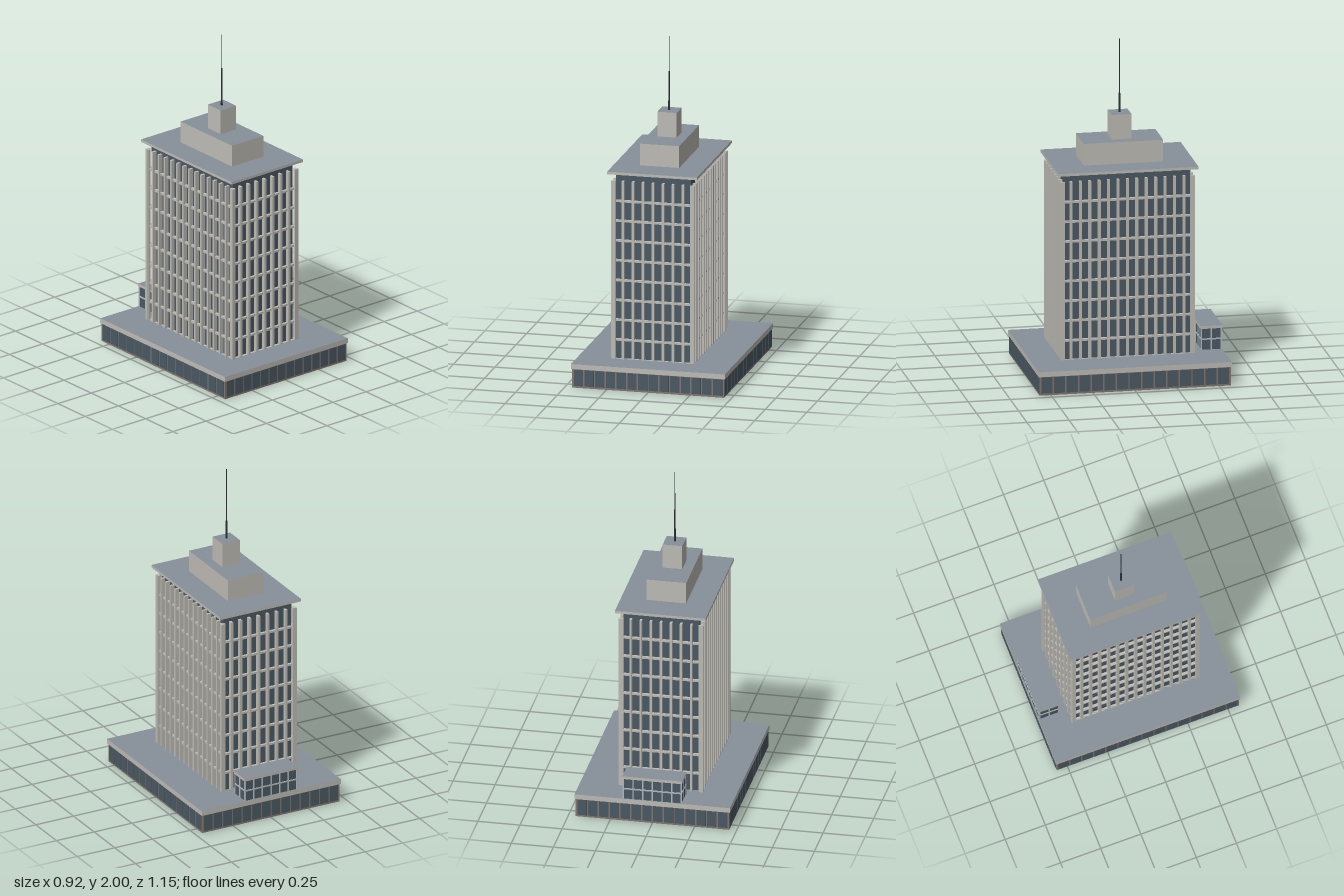
import * as THREE from 'three';
import { mergeGeometries } from 'three/addons/utils/BufferGeometryUtils.js';

export function createModel() {
  const mat = (name, color) => {
    const m = new THREE.MeshStandardMaterial({ color });
    m.name = name;
    return m;
  };
  const stone = mat('paleStone', 0xbfbcb5);
  const glass = mat('darkGlass', 0x4b5964);
  const roof = mat('roofGrey', 0x87919a);
  const brown = mat('brownWall', 0x84776d);
  const frame = mat('paleFrame', 0xb3bbc0);
  const steel = mat('darkSteel', 0x2e3138);

  const model = new THREE.Group();
  model.name = 'officeTower';
  const CX = -0.015; // the tower stands slightly off centre

  const add = (name, geometry, material) => {
    const mesh = new THREE.Mesh(geometry, material);
    mesh.name = name;
    model.add(mesh);
    return mesh;
  };
  // Box given by its extents
  const block = (x0, x1, y0, y1, z0, z1) =>
    new THREE.BoxGeometry(x1 - x0, y1 - y0, z1 - z0)
      .translate((x0 + x1) / 2, (y0 + y1) / 2, (z0 + z1) / 2);
  // Stone sides with grey top and bottom
  const capped = [stone, stone, roof, roof, stone, stone];

  // Evenly spaced uprights or panes along all four sides of a rectangle.
  // Each box has width w along the wall and spans depths d0..d1 past it.
  const around = (cx, cz, hx, hz, offsets, w, y0, y1, d0, d1) => {
    const list = [];
    for (const s of [-1, 1]) {
      const span = (h) => [Math.min(s * (h + d0), s * (h + d1)), Math.max(s * (h + d0), s * (h + d1))];
      const [za, zb] = span(hz), [xa, xb] = span(hx);
      for (const x of offsets.x) list.push(block(cx + x - w.x / 2, cx + x + w.x / 2, y0, y1, cz + za, cz + zb));
      for (const z of offsets.z) list.push(block(cx + xa, cx + xb, y0, y1, cz + z - w.z / 2, cz + z + w.z / 2));
    }
    return mergeGeometries(list);
  };
  const posts = (half, bays) => Array.from({ length: bays + 1 }, (_, i) => -half + (2 * half * i) / bays);
  const centres = (half, bays) => Array.from({ length: bays }, (_, i) => -half + (2 * half * (i + 0.5)) / bays);

  // Podium: open underneath, walls with a row of panes, stone rim and roof
  const PX = 0.456, PZ = 0.567;
  add('podiumWalls', mergeGeometries([
    block(-PX, PX, 0, 0.116, PZ - 0.01, PZ),
    block(-PX, PX, 0, 0.116, -PZ, -PZ + 0.01),
    block(PX - 0.01, PX, 0, 0.116, -PZ, PZ),
    block(-PX, -PX + 0.01, 0, 0.116, -PZ, PZ),
  ]), brown);
  const paneX = 2 * (PX - 0.006) / 14, paneZ = 2 * (PZ - 0.006) / 15;
  add('podiumWindows', around(0, 0, PX, PZ,
    { x: centres(PX - 0.006, 14), z: centres(PZ - 0.006, 15) },
    { x: paneX - 0.009, z: paneZ - 0.009 }, 0.012, 0.11, -0.002, 0.003), glass);
  add('podiumRoof', block(-0.462, 0.462, 0.113, 0.143, -0.573, 0.573), capped);

  // Tower core
  add('towerGlass', block(CX - 0.225, CX + 0.225, 0.143, 1.26, -0.375, 0.375), glass);
  // Vertical fins
  add('towerFins', around(CX, 0, 0.225, 0.375,
    { x: posts(0.24, 8), z: posts(0.391, 14) },
    { x: 0.014, z: 0.014 }, 0.143, 1.218, -0.002, 0.025), stone);
  // Floor edges
  const floors = [];
  for (let i = 0; i < 9; i++) {
    const y = 0.137 + i * 0.1197;
    floors.push(block(CX - 0.241, CX + 0.241, y - 0.006, y + 0.006, -0.391, 0.391));
  }
  add('floorEdges', mergeGeometries(floors), stone);

  // Stepped crown
  add('towerRoof', block(CX - 0.269, CX + 0.269, 1.26, 1.276, -0.416, 0.416), capped);
  add('penthouse', block(CX - 0.118, CX + 0.118, 1.276, 1.407, -0.236, 0.236), capped);
  add('mastBase', block(CX - 0.058, CX + 0.058, 1.407, 1.556, -0.059, 0.059), capped);

  // Antenna
  const rod = (r0, r1, y0, y1) =>
    new THREE.CylinderGeometry(r1, r0, y1 - y0, 8).translate(CX - 0.002, (y0 + y1) / 2, 0);
  add('antenna', mergeGeometries([
    rod(0.006, 0.005, 1.556, 1.67),
    rod(0.004, 0.0035, 1.67, 1.79),
    rod(0.0025, 0.002, 1.79, 2),
  ]), steel);

  // Rear pavilion
  const AZ = -0.508, AX = 0.176, AD = 0.063;
  add('pavilionGlass', block(-AX + 0.004, AX - 0.004, 0.143, 0.272, AZ - AD + 0.004, AZ + AD - 0.004), glass);
  add('pavilionRoof', block(-AX - 0.002, AX + 0.002, 0.27, 0.287, AZ - AD - 0.002, AZ + AD + 0.002), capped);
  add('pavilionMullions', around(0, AZ, AX - 0.004, AD - 0.004,
    { x: posts(AX - 0.004, 6), z: posts(AD - 0.004, 2) },
    { x: 0.008, z: 0.008 }, 0.143, 0.272, -0.002, 0.004), frame);
  add('pavilionRail', block(-AX, AX, 0.203, 0.211, AZ - AD, AZ + AD), frame);

  return model;
}
